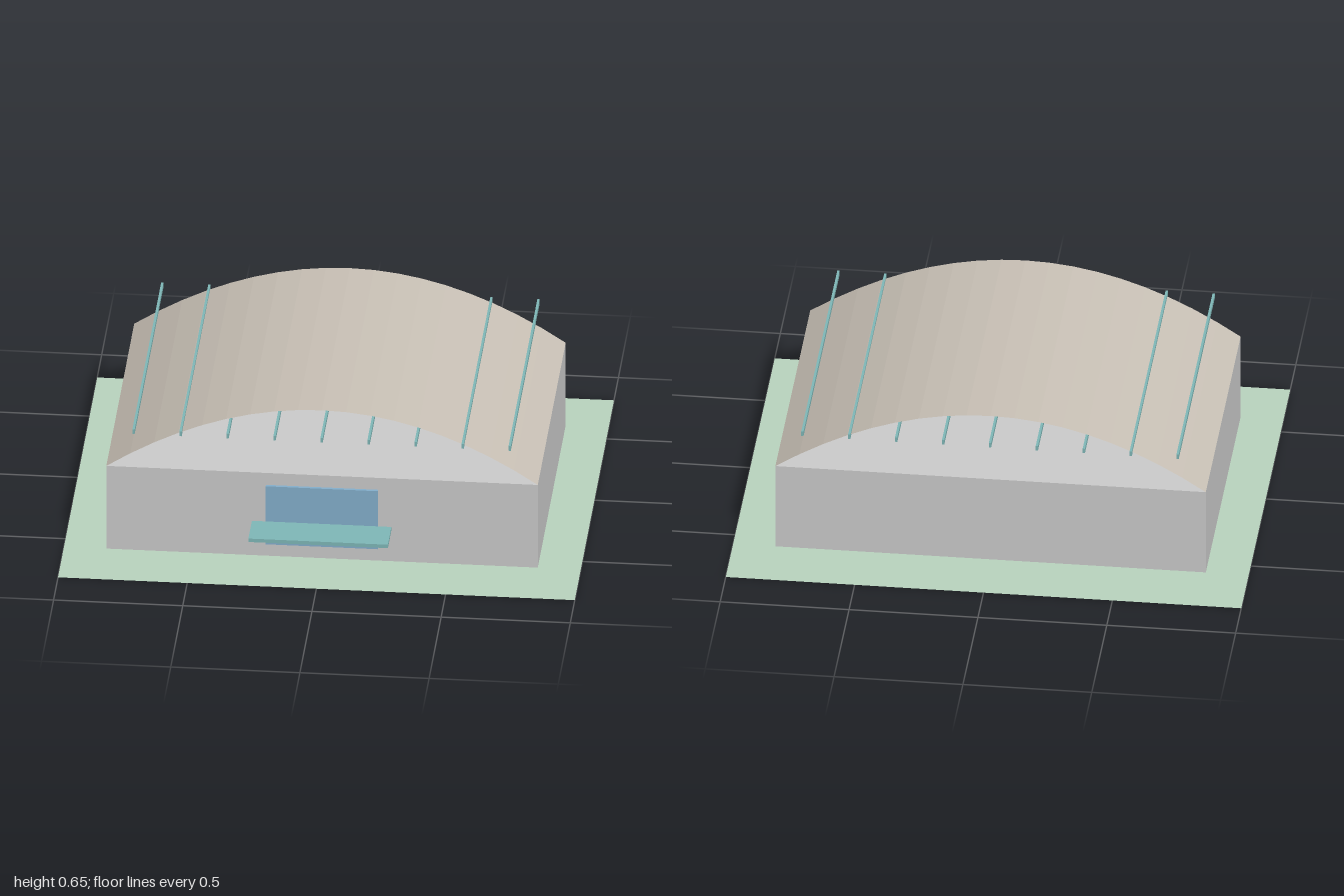
import * as THREE from 'three';

const HALF_W = 0.835, HALF_D = 0.58, EAVE = 0.37, RISE = 0.285;

const mat = (color, extra = {}) => new THREE.MeshStandardMaterial({ color, ...extra });

// Box given by its limits on each axis
function box(name, material, [x0, x1], [y0, y1], [z0, z1]) {
  const mesh = new THREE.Mesh(new THREE.BoxGeometry(x1 - x0, y1 - y0, z1 - z0), material);
  mesh.position.set((x0 + x1) / 2, (y0 + y1) / 2, (z0 + z1) / 2);
  mesh.name = name;
  return mesh;
}

// Open vaulted sheet: a plane bent along a parabola
function vaultedRoof() {
  const geo = new THREE.PlaneGeometry(2 * HALF_W, 2 * HALF_D, 18, 1).rotateX(-Math.PI / 2);
  const p = geo.attributes.position;
  for (let i = 0; i < p.count; i++) {
    const t = p.getX(i) / HALF_W;
    p.setY(i, EAVE + RISE * (1 - t * t));
  }
  geo.computeVertexNormals();
  const mesh = new THREE.Mesh(geo, mat(0xc9c1b6, { side: THREE.DoubleSide, flatShading: true }));
  mesh.name = 'vaultedRoof';
  return mesh;
}

export function createModel() {
  const model = new THREE.Group();
  model.name = 'sportsHall';
  const teal = mat(0x7fb8b8);

  // Flat lawn
  const lawn = new THREE.Mesh(
    new THREE.PlaneGeometry(2, 1.63).rotateX(-Math.PI / 2),
    mat(0xb9d4be, { side: THREE.DoubleSide })
  );
  lawn.name = 'lawn';
  model.add(lawn);

  // Hall walls and roof
  model.add(box('hallWalls', mat(0xcccccc), [-HALF_W, HALF_W], [0.008, EAVE], [-HALF_D, HALF_D]));
  model.add(vaultedRoof());

  // Entrance glazing and canopy
  model.add(box('entranceGlazing', mat(0x84afcc), [-0.217, 0.217], [0.064, 0.318], [0.58, 0.592]));
  model.add(box('entranceCanopy', teal, [-0.27, 0.27], [0.152, 0.167], [0.597, 0.742]));

  // Row of level roof beams running front to back
  const beams = new THREE.Group();
  beams.name = 'roofBeams';
  for (let i = -4; i <= 4; i++) {
    const x = i * 0.182;
    beams.add(box('roofBeam', teal, [x - 0.0045, x + 0.0045], [0.525, 0.545], [-0.6, 0.6]));
  }
  model.add(beams);

  return model;
}
